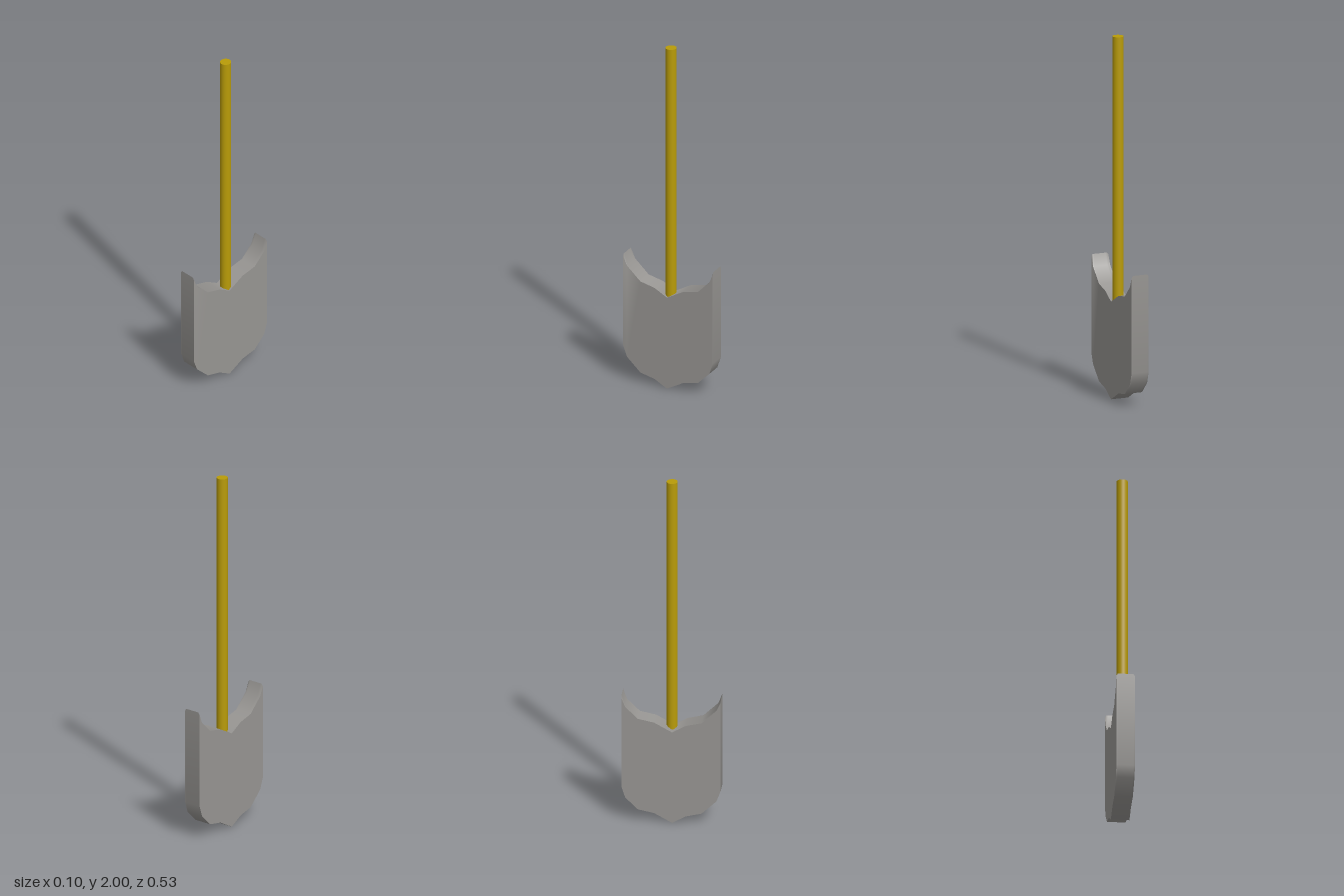
import * as THREE from 'three';
import { toCreasedNormals } from 'three/addons/utils/BufferGeometryUtils.js';

export function createModel() {
  const group = new THREE.Group();

  // Blade: the scalloped edge is repeated at the top and bottom of a thick plate
  const edge = [
    [0.268, 0.203], [0.245, 0.14], [0.165, 0.063], [0.08, 0.042], [0.006, 0],
    [-0.09, 0.053], [-0.178, 0.071], [-0.246, 0.138], [-0.267, 0.203],
  ].map(([z, y]) => new THREE.Vector2(z, y));
  const bladeHeight = 0.538;
  const topEdge = edge.map((p) => new THREE.Vector2(p.x, p.y + bladeHeight)).reverse();
  const thickness = 0.1;
  const bladeGeometry = new THREE.ExtrudeGeometry(new THREE.Shape([...edge, ...topEdge]), {
    depth: thickness,
    steps: 12,
    bevelEnabled: false,
  });
  bladeGeometry.translate(0, 0, -thickness / 2).rotateY(-Math.PI / 2);

  // Clip the outer corners of the two upper tips
  const position = bladeGeometry.attributes.position;
  for (let i = 0; i < position.count; i++) {
    if (position.getY(i) > 0.72 && Math.abs(position.getX(i)) > 0.049) {
      position.setY(i, position.getY(i) - 0.012);
    }
  }
  const blade = new THREE.Mesh(
    toCreasedNormals(bladeGeometry, Math.PI / 3),
    new THREE.MeshStandardMaterial({ color: 0x979592 }),
  );
  blade.name = 'blade';
  group.add(blade);

  // Handle: a round pole sunk deep into the notch of the blade
  const bottom = 0.22;
  const handle = new THREE.Mesh(
    new THREE.CylinderGeometry(0.03, 0.03, 2 - bottom, 32),
    new THREE.MeshStandardMaterial({ color: 0xb89b08 }),
  );
  handle.position.set(0.012, (2 + bottom) / 2, 0);
  handle.name = 'handle';
  group.add(handle);

  return group;
}
